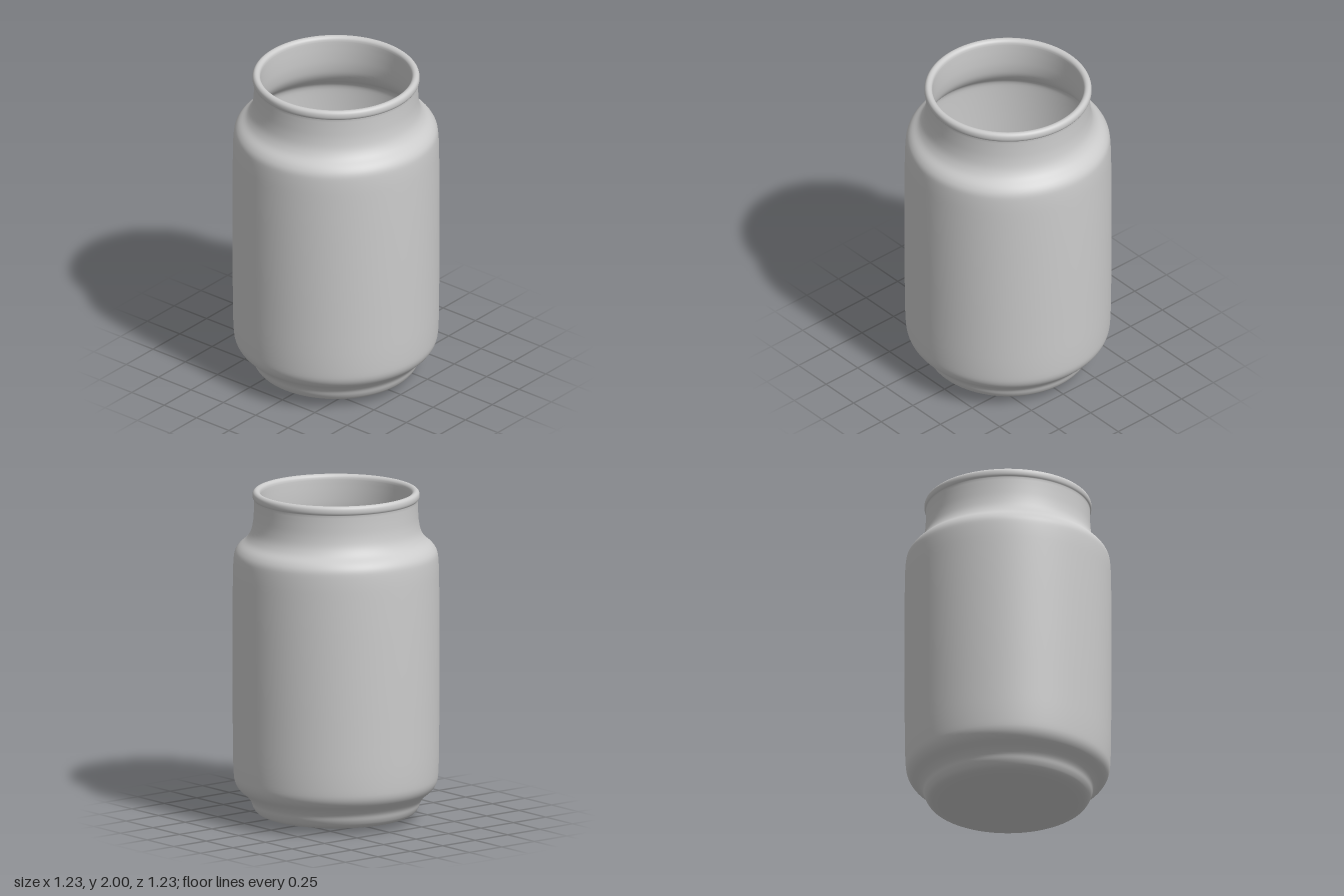
import * as THREE from 'three';

// Smooth curve through [radius, height] points
function smoothProfile(points, divisions) {
  const curve = new THREE.CatmullRomCurve3(
    points.map(([r, y]) => new THREE.Vector3(r, y, 0)), false, 'centripetal');
  return curve.getPoints(divisions).map(p => new THREE.Vector2(Math.max(p.x, 0), Math.max(p.y, 0)));
}

export function createModel() {
  const model = new THREE.Group();
  model.name = 'jar';
  const material = new THREE.MeshStandardMaterial({ color: 0xcccccc, side: THREE.DoubleSide });

  // Outside: domed base, stepped foot, straight body, shoulder, neck
  const outside = [
    [0, 0], [0.2, 0.008], [0.36, 0.022], [0.44, 0.037], [0.475, 0.055], [0.495, 0.085],
    [0.508, 0.12], [0.535, 0.155], [0.58, 0.195], [0.602, 0.235], [0.61, 0.3],
    [0.615, 0.6], [0.617, 1.0], [0.615, 1.4], [0.61, 1.58], [0.602, 1.63], [0.58, 1.665],
    [0.535, 1.705], [0.508, 1.75], [0.494, 1.81], [0.489, 1.88], [0.488, 1.945],
  ];
  // Rounded bead around the mouth
  const rim = [
    [0.488, 1.945], [0.496, 1.957], [0.498, 1.975], [0.494, 1.99], [0.482, 2.0],
    [0.466, 1.999], [0.454, 1.988], [0.45, 1.97],
  ];
  // Inside: follows the outside at the wall thickness, down to the floor
  const inside = [
    [0.45, 1.97], [0.45, 1.88], [0.455, 1.8], [0.47, 1.735], [0.505, 1.68], [0.55, 1.64],
    [0.568, 1.61], [0.574, 1.55], [0.578, 1.0], [0.572, 0.3], [0.562, 0.25], [0.535, 0.215],
    [0.495, 0.175], [0.47, 0.135], [0.452, 0.1], [0.42, 0.078], [0.34, 0.062], [0.2, 0.048], [0, 0.04],
  ];

  const profile = [
    ...smoothProfile(outside, 84),
    ...smoothProfile(rim, 21).slice(1),
    ...smoothProfile(inside, 72).slice(1),
  ];
  const jar = new THREE.Mesh(new THREE.LatheGeometry(profile, 96), material);
  jar.name = 'jarBody';
  model.add(jar);
  return model;
}
